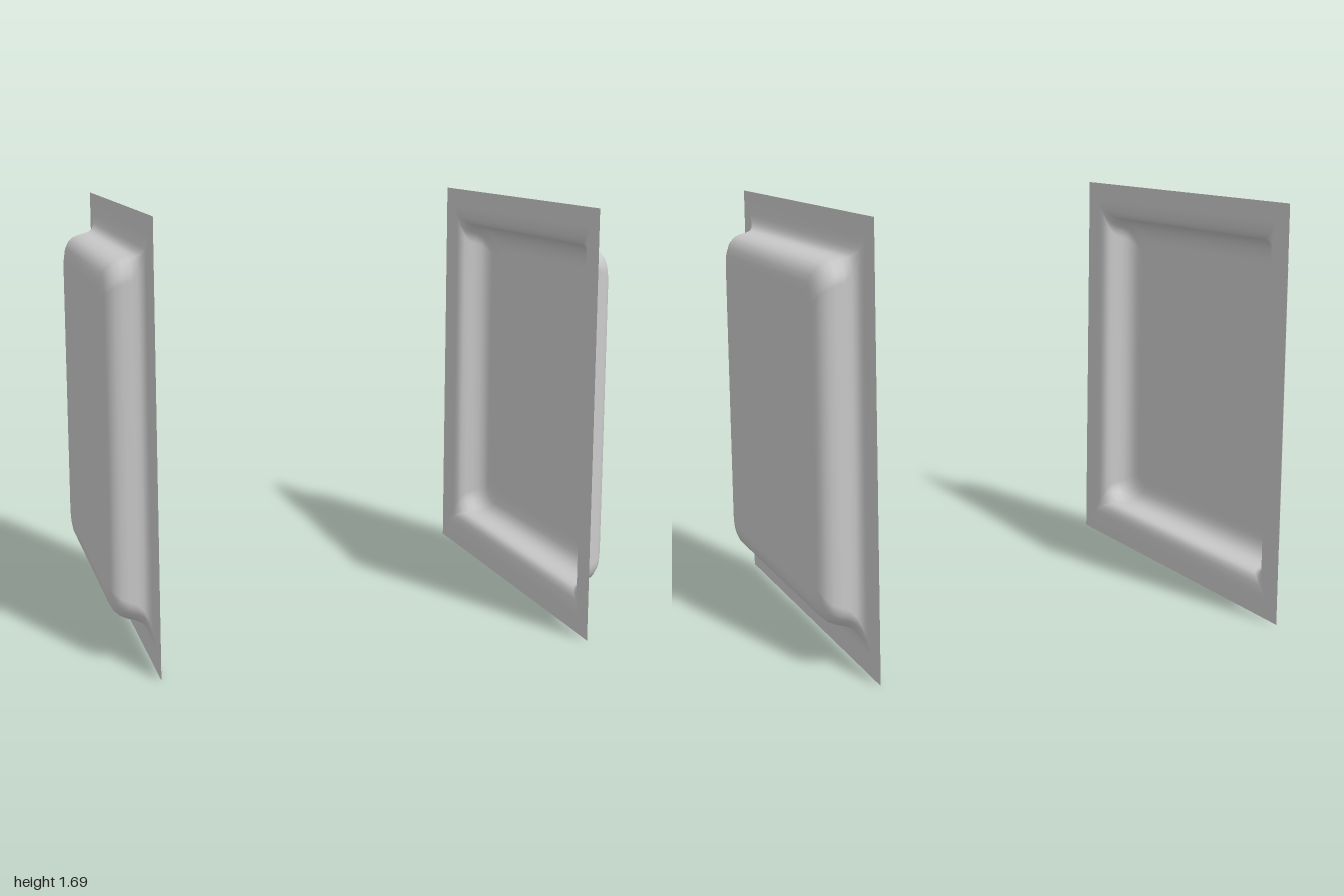
import * as THREE from 'three';

// Rings from the rim to the plateau: [half size, x, corner radius]
const PROFILE = [
  [0.845, 0.845, 0.001],
  [0.765, 0.845, 0.002],
  [0.745, 0.847, 0.004],
  [0.72, 0.852, 0.015],
  [0.7, 0.862, 0.035],
  [0.689, 0.877, 0.06],
  [0.683, 0.9, 0.08],
  [0.677, 0.93, 0.085],
  [0.667, 0.957, 0.085],
  [0.65, 0.978, 0.085],
  [0.625, 0.992, 0.08],
  [0.595, 0.999, 0.07],
  [0.57, 1, 0.06],
  [0, 1, 0],
];
const CORNER_STEPS = 8;
const CENTRE_Y = 0.845;

// Pressed sheet: rounded-square rings joined by quads, facing +x
function panelGeometry() {
  const positions = [];
  const indices = [];
  const count = 4 * (CORNER_STEPS + 1);
  for (const [half, x, radius] of PROFILE) {
    for (let corner = 0; corner < 4; corner++) {
      const mid = Math.PI / 4 + corner * Math.PI / 2;
      const cy = Math.sign(Math.cos(mid)) * (half - radius);
      const cz = Math.sign(Math.sin(mid)) * (half - radius);
      for (let s = 0; s <= CORNER_STEPS; s++) {
        const a = (corner + s / CORNER_STEPS) * Math.PI / 2;
        positions.push(x, CENTRE_Y + cy + radius * Math.cos(a), cz + radius * Math.sin(a));
      }
    }
  }
  for (let i = 0; i < PROFILE.length - 1; i++) {
    for (let j = 0; j < count; j++) {
      const k = (j + 1) % count;
      const a = i * count + j, b = i * count + k;
      const c = a + count, d = b + count;
      indices.push(a, b, c);
      if (i < PROFILE.length - 2) indices.push(b, d, c);
    }
  }
  const geometry = new THREE.BufferGeometry();
  geometry.setAttribute('position', new THREE.Float32BufferAttribute(positions, 3));
  geometry.setIndex(indices);
  geometry.computeVertexNormals();
  return geometry;
}

export function createModel() {
  const model = new THREE.Group();
  model.name = 'pressedPanels';
  const material = new THREE.MeshStandardMaterial({ color: 0xcccccc, side: THREE.DoubleSide });
  const geometry = panelGeometry();

  // Two panels bulging away from each other
  for (const [name, turn] of [['leftPanel', 0], ['rightPanel', Math.PI]]) {
    const panel = new THREE.Mesh(geometry, material);
    panel.name = name;
    panel.rotation.y = turn;
    model.add(panel);
  }
  return model;
}
